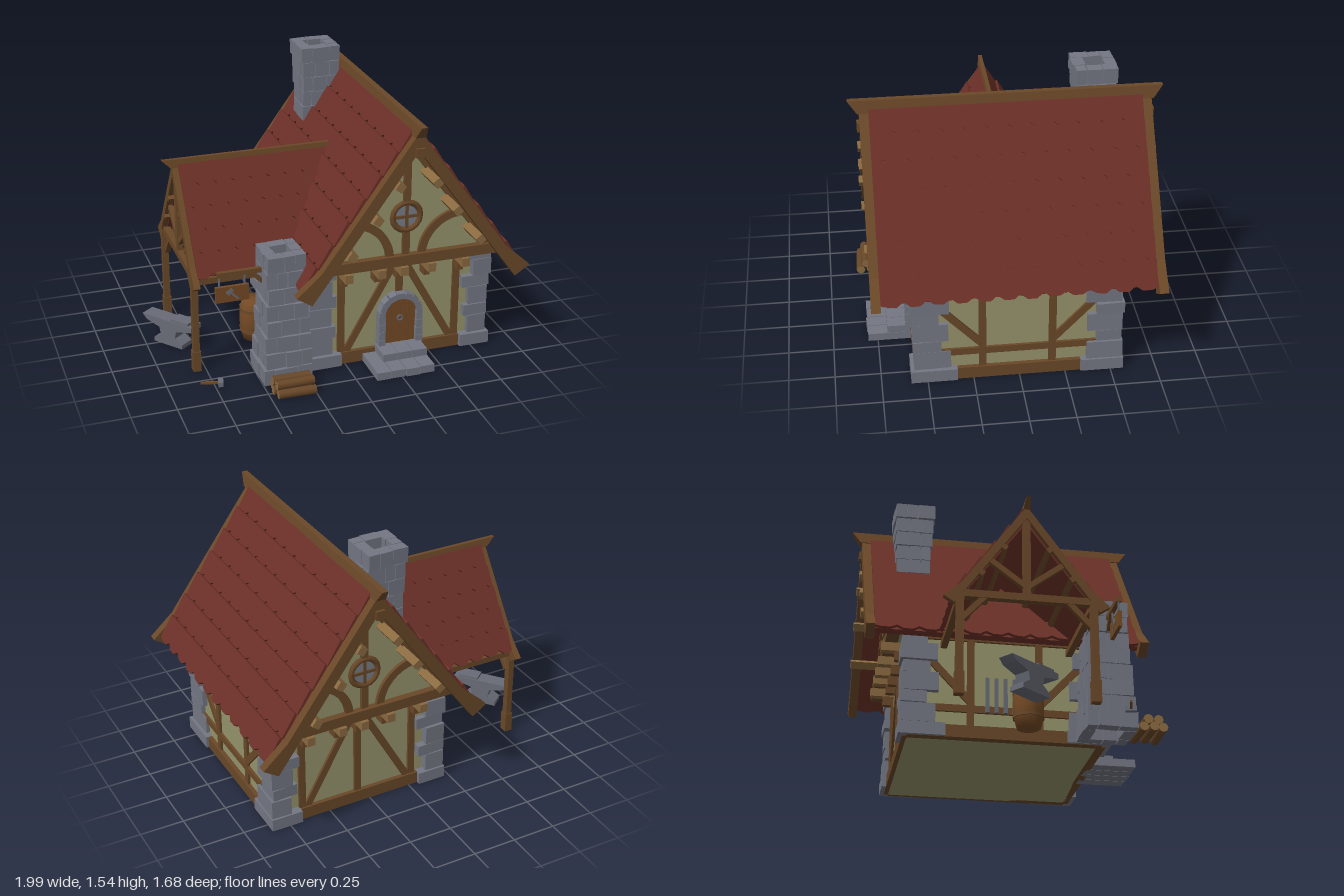
import * as THREE from 'three';

const mat = (name, color) => Object.assign(new THREE.MeshStandardMaterial({ color }), { name });
const stone = mat('stone', 0x747783), iron = mat('iron', 0x686b76), timber = mat('timber', 0x6a4828),
  tan = mat('cut wood', 0x8a6a40), tile = mat('roof tile', 0x6b3027), plaster = mat('plaster', 0x96946c),
  doorWood = mat('door wood', 0x744a25), glass = mat('glass', 0x787d88);

let seed = 7;
const rnd = (a, b) => { seed = (seed * 16807) % 2147483647; return a + (b - a) * seed / 2147483647; };

function add(parent, name, geo, m, x = 0, y = 0, z = 0) {
  const mesh = new THREE.Mesh(geo, m);
  mesh.name = name;
  mesh.position.set(x, y, z);
  parent.add(mesh);
  return mesh;
}
const box = (p, name, m, w, h, d, x, y, z) => add(p, name, new THREE.BoxGeometry(w, h, d), m, x, y, z);
function group(parent, name, x = 0, y = 0, z = 0, ry = 0) {
  const g = new THREE.Group();
  g.name = name;
  g.position.set(x, y, z);
  g.rotation.y = ry;
  parent.add(g);
  return g;
}
const poly = (pts) => new THREE.Shape(pts.map((p) => new THREE.Vector2(...p)));
const extrude = (shape, depth) =>
  new THREE.ExtrudeGeometry(shape, { depth, bevelEnabled: false, curveSegments: 8 }).translate(0, 0, -depth / 2);
// straight timber between two points of a wall plane
function beam(p, x1, y1, x2, y2, z = 0, w = 0.04, d = 0.03) {
  const b = box(p, 'wallTimber', timber, Math.hypot(x2 - x1, y2 - y1), w, d, (x1 + x2) / 2, (y1 + y2) / 2, z);
  b.rotation.z = Math.atan2(y2 - y1, x2 - x1);
}

// one roof slope facing +x, its ridge along z; uL and uR give the ends for a height fraction
function slope(parent, run, rise, eaveY, rows, uL, uR, tileW) {
  const len = Math.hypot(run, rise), a = Math.atan2(rise, run), c = Math.cos(a), s = Math.sin(a);
  const g = group(parent, 'roofSlope');
  const frame = new THREE.Matrix4().makeBasis(new THREE.Vector3(0, 0, -1),
    new THREE.Vector3(-c, s, 0), new THREE.Vector3(s, c, 0));
  g.quaternion.setFromRotationMatrix(frame);
  g.position.set(run, eaveY, 0);
  const slab = poly([[uL(0), 0.02], [uR(0), 0.02], [uR(1), len], [uL(1), len]]);
  add(g, 'roofDeck', extrude(slab, 0.03), tile, 0, 0, -0.025);
  const step = len / rows;
  for (let r = 0; r < rows; r++) {
    const f0 = r / rows, f1 = (r + 1) / rows, L = uL(f0), R = uR(f0), pts = [];
    const first = Math.floor(L / tileW) - 1, shift = (r % 2) * tileW / 2;
    pts.push([L, 0.012]);
    for (let i = first; i * tileW < R + tileW; i++) {
      for (const [k, v] of [[0, 0.026], [0.3, 0], [0.7, 0]]) {
        const u = i * tileW + shift + k * tileW;
        if (u > L + 0.004 && u < R - 0.004) pts.push([u, v + (k ? rnd(-0.004, 0.004) : 0)]);
      }
    }
    pts.push([R, 0.012], [uR(f1), step + 0.01], [uL(f1), step + 0.01]);
    const row = add(g, 'tileRow', extrude(poly(pts), 0.016), tile, 0, r * step, 0.007);
    row.rotation.x = 0.09;
  }
}

// gable trim with flared feet, measured down from its apex
function barge(parent, k, y, z, depth) {
  const half = [[0.53, -0.73], [0.67, -0.855], [0.585, -0.91], [0.475, -0.76]];
  const pts = [[0, 0], ...half, [0, -0.105], ...half.map(([x, v]) => [-x, v]).reverse()];
  add(parent, 'bargeBoard', extrude(poly(pts.map(([x, v]) => [x * k, v * k])), depth), timber, 0, y, z);
}
// ridge beam along z, narrow and longer on top
function ridge(parent, y, z0, z1, h, w) {
  const geo = new THREE.BoxGeometry(w, h, z1 - z0), p = geo.attributes.position;
  for (let i = 0; i < p.count; i++)
    if (p.getY(i) > 0) p.setXYZ(i, p.getX(i) * 0.55, p.getY(i), p.getZ(i) + Math.sign(p.getZ(i)) * 0.05);
  geo.computeVertexNormals();
  add(parent, 'ridgeBeam', geo, timber, 0, y, (z0 + z1) / 2);
}

// hollow masonry shaft: four overlapping blocks per course
function shaft(parent, name, x, z, y0, y1, courses, size, wall) {
  const g = group(parent, name, x, 0, z), h = (y1 - y0) / courses;
  for (let i = 0; i < courses; i++) {
    const c = group(g, 'course', rnd(-0.006, 0.006), y0 + (i + 0.5) * h, 0, rnd(-0.03, 0.03));
    const s = size(i / (courses - 1));
    for (let k = 0; k < 4; k++) {
      const side = group(c, 'courseSide', 0, 0, 0, k * Math.PI / 2), flip = i % 2 ? 1 : -1;
      const full = 2 * s - wall, cut = rnd(0.35, 0.65) * full, start = flip > 0 ? -s : -s + wall;
      for (const [a, b] of [[0, cut], [cut, full]]) {
        const m = box(side, 'block', stone, b - a - 0.004, h - 0.004, wall + rnd(-0.006, 0.01),
          start + (a + b) / 2, 0, s - wall / 2);
        m.rotation.z = rnd(-0.03, 0.03);
      }
    }
  }
}

// timber framing of one gable end, facing +z
function gableEnd(house, ry) {
  const g = group(house, 'gableEnd', 0, 0, 0, ry), lo = 0.53, hi = 0.615;
  beam(g, -0.5, 0.035, 0.5, 0.035, lo, 0.07, 0.05);
  beam(g, -0.54, 0.63, 0.54, 0.63, hi, 0.06, 0.07);
  beam(g, 0, 0.05, 0, 0.6, lo);
  for (const s of [-1, 1]) {
    beam(g, s * 0.34, 0.05, s * 0.34, 0.6, lo);
    beam(g, s * 0.02, 0.59, s * 0.31, 0.07, lo);
    const arc = new THREE.Shape();
    arc.absarc(0, 0, 0.25, 0, Math.PI / 2, false);
    arc.absarc(0, 0, 0.205, Math.PI / 2, 0, true);
    const brace = add(g, 'curvedBrace', extrude(arc, 0.03), timber, s * 0.32, 0.64, hi);
    if (s > 0) brace.rotation.y = Math.PI;
    beam(g, s * 0.5, 0.64, 0, 1.315, hi, 0.04);
  }
  beam(g, 0, 0.66, 0, 0.8, hi);
  beam(g, 0, 0.97, 0, 1.31, hi);
  for (const x of [-0.34, -0.15, -0.02, 0.14, 0.34]) {
    box(g, 'joistEnd', tan, 0.045, 0.05, 0.14, x, 0.575, 0.6);
    box(g, 'joistBracket', timber, 0.035, 0.055, 0.07, x, 0.525, 0.56);
  }
  const w = group(g, 'roundWindow', 0, 0.88, hi + 0.005);
  add(w, 'windowFrame', new THREE.TorusGeometry(0.08, 0.017, 6, 16), timber);
  add(w, 'pane', new THREE.CircleGeometry(0.08, 16), glass);
  beam(w, -0.08, 0, 0.08, 0, 0, 0.016, 0.02);
  beam(w, 0, -0.08, 0, 0.08, 0, 0.016, 0.02);
  return g;
}

function buildHouse(root) {
  const h = group(root, 'house', 0.32, 0, 0.01);
  box(h, 'walls', plaster, 1, 0.62, 1.06, 0, 0.31, 0);
  add(h, 'gableWalls', extrude(poly([[-0.53, 0.6], [0.53, 0.6], [0, 1.33]]), 1.22), plaster);
  const front = gableEnd(h, 0);
  gableEnd(h, Math.PI);
  // side wall framing
  for (const s of [1, -1]) {
    const g = group(h, 'sideFrame', s * 0.5, 0, 0, s * Math.PI / 2);
    beam(g, -0.53, 0.035, 0.53, 0.035, 0, 0.07, 0.05);
    beam(g, -0.5, 0.17, 0.5, 0.17);
    beam(g, -0.53, 0.6, 0.53, 0.6, 0, 0.06);
    for (const t of [-1, 1]) {
      beam(g, t * 0.19, 0.06, t * 0.19, 0.6);
      beam(g, t * 0.19, 0.21, t * 0.48, 0.52);
    }
    if (s < 0) for (let i = -2; i <= 2; i++) box(g, 'rackTool', iron, 0.02, 0.2, 0.02, i * 0.05, 0.25, 0.025);
  }
  // corner stones
  for (const sx of [-1, 1]) for (const sz of [-1, 1]) {
    const g = group(h, 'cornerStones');
    let y = 0;
    for (let i = 0; i < 7; i++) {
      const ht = [0.075, 0.11, 0.07, 0.11, 0.07, 0.1, 0.07][i], odd = i % 2;
      const a = (i ? (odd ? 0.12 : 0.155) : 0.18) + rnd(-0.015, 0.015);
      const b = (i ? (odd ? 0.2 : 0.14) : 0.24) + rnd(-0.015, 0.015);
      const o = i ? rnd(-0.008, 0.008) : 0.01;
      const m = box(g, 'cornerStone', stone, a, ht - 0.004, b, sx * (0.53 + o - a / 2), y + ht / 2, sz * (0.57 + o - b / 2));
      if (i) m.rotation.set(rnd(-0.02, 0.02), rnd(-0.03, 0.03), rnd(-0.02, 0.02));
      y += ht;
    }
  }
  // roof
  for (const ry of [0, Math.PI])
    slope(group(h, 'mainRoof', 0, 0, 0, ry), 0.62, 0.84, 0.56, 7, () => -0.73, () => 0.73, 0.122);
  for (const s of [-1, 1]) barge(h, 1, 1.42, s * 0.755, 0.05);
  ridge(h, 1.425, -0.79, 0.79, 0.07, 0.06);
  for (const s of [-1, 1]) for (const [x, y] of [[0.365, 0.765], [0.225, 0.95], [0.105, 1.125]])
    box(h, 'purlin', tan, 0.045, 0.045, 1.59, s * x, y, 0).rotation.z = -s * 0.93;
  box(h, 'ridgePurlin', timber, 0.05, 0.05, 1.59, 0, 1.305, 0);
  // door, stone arch and steps
  const d = group(front, 'doorway', 0, 0, 0.54);
  const leaf = poly([[-0.095, 0.08], [0.095, 0.08], [0.095, 0.27]]);
  leaf.absarc(0, 0.27, 0.095, 0, Math.PI, false);
  add(d, 'door', extrude(leaf, 0.04), doorWood);
  for (const x of [-0.05, 0, 0.05]) box(d, 'plankGap', timber, 0.006, 0.26, 0.006, x, 0.21, 0.02);
  add(d, 'doorRing', new THREE.TorusGeometry(0.016, 0.005, 5, 10), iron, 0, 0.24, 0.026);
  for (let i = 0; i <= 8; i++) {
    const a = i * Math.PI / 8;
    box(d, 'archStone', stone, 0.034, 0.044, 0.07, Math.cos(a) * 0.11, 0.27 + Math.sin(a) * 0.11, 0.01).rotation.z = a;
  }
  for (const s of [-1, 1]) for (let i = 0; i < 4; i++)
    box(d, 'jambStone', stone, 0.034 + rnd(0, 0.01), 0.046, 0.07, s * 0.11, 0.1 + i * 0.048, 0.01);
  for (let i = 0; i < 4; i++) {
    box(d, 'lowerStep', stone, 0.08, 0.045, 0.27 + rnd(-0.02, 0.01), -0.175 + i * 0.085, 0.0225, 0.12);
    if (i) box(d, 'upperStep', stone, 0.084, 0.045, 0.15, -0.185 + i * 0.087, 0.066, 0.07);
  }
}

function buildCanopy(root) {
  const g = group(root, 'canopy', 0, 0, 0.02);
  const valley = (f) => 0.335 - (1.4 - 0.56 - 0.51 * f) / 1.355;
  slope(group(g, 'canopyFront', 0, 0, 0, -Math.PI / 2), 0.38, 0.51, 0.56, 5, () => -0.785, valley, 0.1);
  slope(group(g, 'canopyBack', 0, 0, 0, Math.PI / 2), 0.38, 0.51, 0.56, 5, (f) => -valley(f), () => 0.785, 0.1);
  const end = group(g, 'canopyGable', 0, 0, 0, -Math.PI / 2);
  barge(end, 0.65, 1.09, 0.8, 0.035);
  ridge(end, 1.097, -0.06, 0.825, 0.048, 0.04);
  beam(end, -0.37, 0.56, 0.37, 0.56, 0.79, 0.04, 0.04);
  beam(end, 0, 0.56, 0, 1.03, 0.79, 0.04, 0.035);
  for (const s of [-1, 1]) {
    beam(end, 0, 0.62, s * 0.2, 0.77, 0.79, 0.03);
    beam(end, s * 0.34, 0.42, s * 0.22, 0.55, 0.79, 0.03);
    box(end, 'post', timber, 0.04, 0.56, 0.035, s * 0.35, 0.28, 0.8);
    box(end, 'postFoot', timber, 0.05, 0.12, 0.045, s * 0.35, 0.06, 0.8);
    box(end, 'eaveBeam', timber, 0.035, 0.035, 0.66, s * 0.35, 0.54, 0.48);
    for (const [x, y] of [[0.24, 0.68], [0.12, 0.84]])
      box(end, 'purlin', timber, 0.03, 0.03, 0.8, s * x, y, 0.42).rotation.z = -s * 0.93;
  }
}

function buildYard(root) {
  shaft(root, 'forgeStack', -0.355, 0.53, 0, 0.745, 8, (t) => 0.138 - 0.03 * Math.min(1, t * 1.3), 0.06);
  shaft(root, 'roofChimney', 0.172, -0.48, 0.92, 1.545, 7, (t) => 0.085 + 0.03 * t, 0.06);
  // firewood
  const logs = group(root, 'firewood');
  [[0.705, 0.026], [0.76, 0.026], [0.815, 0.026], [0.732, 0.068], [0.787, 0.068]].forEach(([z, y]) => {
    const geo = new THREE.CylinderGeometry(0.026, 0.026, 0.21, 8).rotateZ(Math.PI / 2);
    add(logs, 'log', geo, [timber, tan, tan], -0.365 + rnd(-0.008, 0.008), y, z).rotation.y = rnd(-0.04, 0.04);
  });
  // barrel
  const barrel = group(root, 'barrel', -0.39, 0, 0.1);
  const prof = [[0, 0], [0.065, 0], [0.083, 0.07], [0.085, 0.125], [0.083, 0.18], [0.065, 0.25], [0, 0.25]];
  add(barrel, 'staves', new THREE.LatheGeometry(prof.map((p) => new THREE.Vector2(...p)), 12), doorWood);
  for (const y of [0.06, 0.19])
    add(barrel, 'hoop', new THREE.CylinderGeometry(0.085, 0.085, 0.016, 12), timber, 0, y, 0);
  // anvil
  const anvil = group(root, 'anvil', -0.85, 0, 0.02, -0.9);
  add(anvil, 'anvilBody', extrude(poly([[-0.1, 0], [0.1, 0], [0.1, 0.025], [0.05, 0.055], [0.06, 0.1], [0.17, 0.125],
    [0.17, 0.155], [-0.18, 0.155], [-0.15, 0.125], [-0.06, 0.1], [-0.05, 0.055], [-0.1, 0.025]]), 0.09), iron);
  box(anvil, 'anvilFace', iron, 0.12, 0.015, 0.08, 0.08, 0.162, 0);
  // hammer on the ground
  const hammer = group(root, 'hammer', -0.76, 0, 0.56, -0.25);
  box(hammer, 'handle', doorWood, 0.11, 0.012, 0.014, -0.01, 0.014, 0);
  box(hammer, 'head', iron, 0.028, 0.026, 0.06, 0.045, 0.014, 0);
  // hanging sign with bracket
  const sign = group(root, 'hangingSign', 0, 0, 0.53);
  beam(sign, -0.71, 0.64, -0.44, 0.64, 0, 0.026, 0.026);
  beam(sign, -0.53, 0.635, -0.45, 0.56, 0, 0.022, 0.022);
  box(sign, 'signBoard', doorWood, 0.185, 0.09, 0.02, -0.63, 0.522, 0);
  for (const x of [-0.7, -0.56]) box(sign, 'chain', iron, 0.009, 0.07, 0.009, x, 0.597, 0);
  for (const s of [-1, 1]) {
    box(sign, 'ironHead', iron, 0.04, 0.022, 0.006, -0.645, 0.537, s * 0.011).rotation.z = 0.7;
    box(sign, 'ironHandle', iron, 0.065, 0.01, 0.006, -0.622, 0.514, s * 0.011).rotation.z = -0.8;
  }
}

export function createModel() {
  const root = new THREE.Group();
  root.name = 'smithyCottage';
  buildHouse(root);
  buildCanopy(root);
  buildYard(root);
  return root;
}
